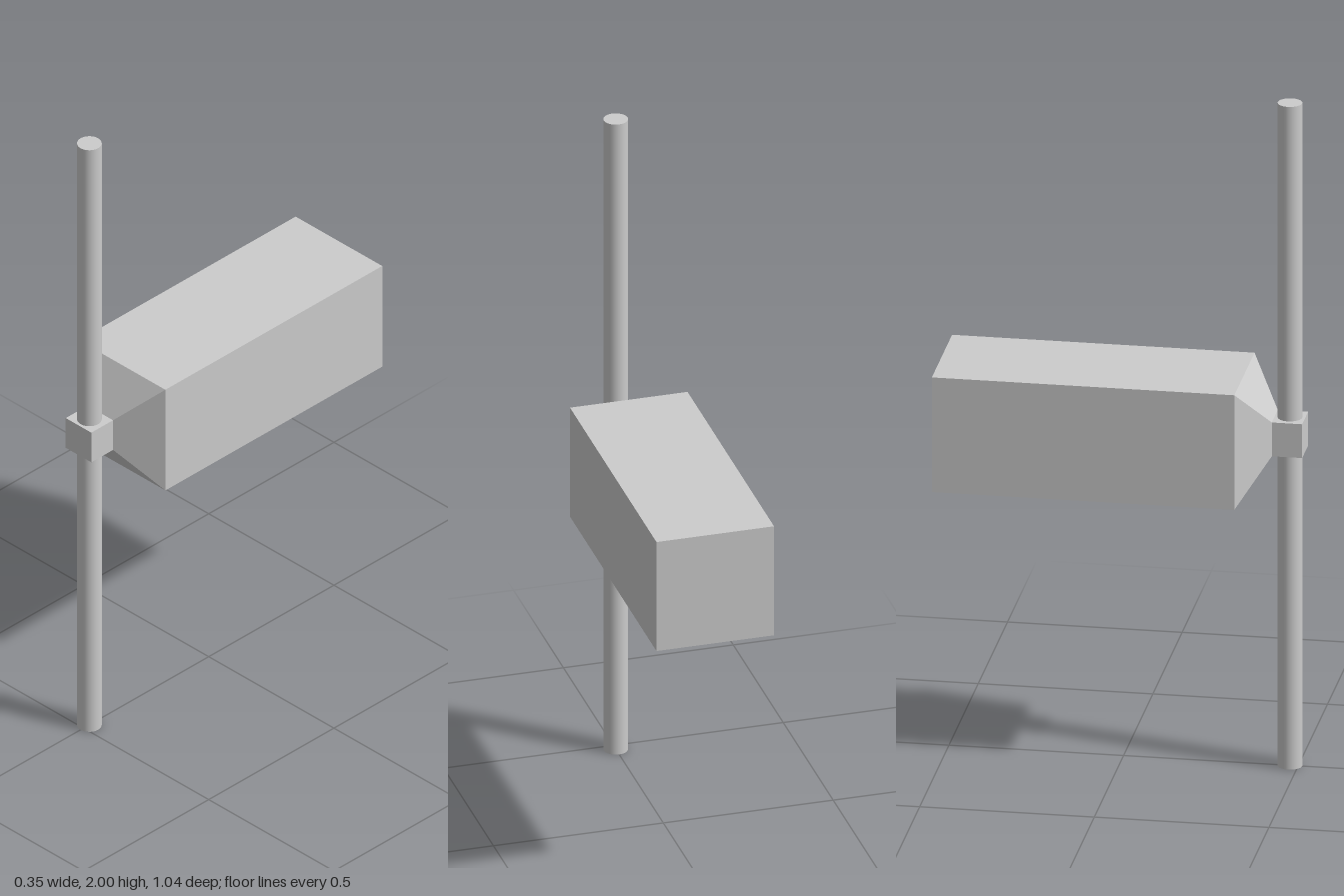
import * as THREE from 'three';

export function createModel() {
  const model = new THREE.Group();
  const flat = new THREE.MeshStandardMaterial({ color: 0xcccccc, flatShading: true });
  const smooth = new THREE.MeshStandardMaterial({ color: 0xcccccc });

  const add = (name, geometry, material, z) => {
    const mesh = new THREE.Mesh(geometry, material);
    mesh.name = name;
    mesh.position.set(0, 1, z);
    model.add(mesh);
  };

  const bodyHalf = 0.173, clampHalf = 0.051;
  const back = -0.52, shoulder = 0.346, neck = 0.433, front = 0.52;

  // Long square housing
  add('body', new THREE.BoxGeometry(bodyHalf * 2, bodyHalf * 2, shoulder - back), flat, (back + shoulder) / 2);

  // Four-sided taper from the housing down to the clamp
  const taper = new THREE.CylinderGeometry(clampHalf * Math.SQRT2, bodyHalf * Math.SQRT2, neck - shoulder, 4);
  taper.rotateY(Math.PI / 4).rotateX(Math.PI / 2);
  add('taper', taper, flat, (shoulder + neck) / 2);

  // Clamp block and the upright pole running through it
  const clampZ = (neck + front) / 2;
  add('clamp', new THREE.BoxGeometry(clampHalf * 2, clampHalf * 2, front - neck), flat, clampZ);
  add('pole', new THREE.CylinderGeometry(0.035, 0.035, 2, 32), smooth, clampZ);

  return model;
}
